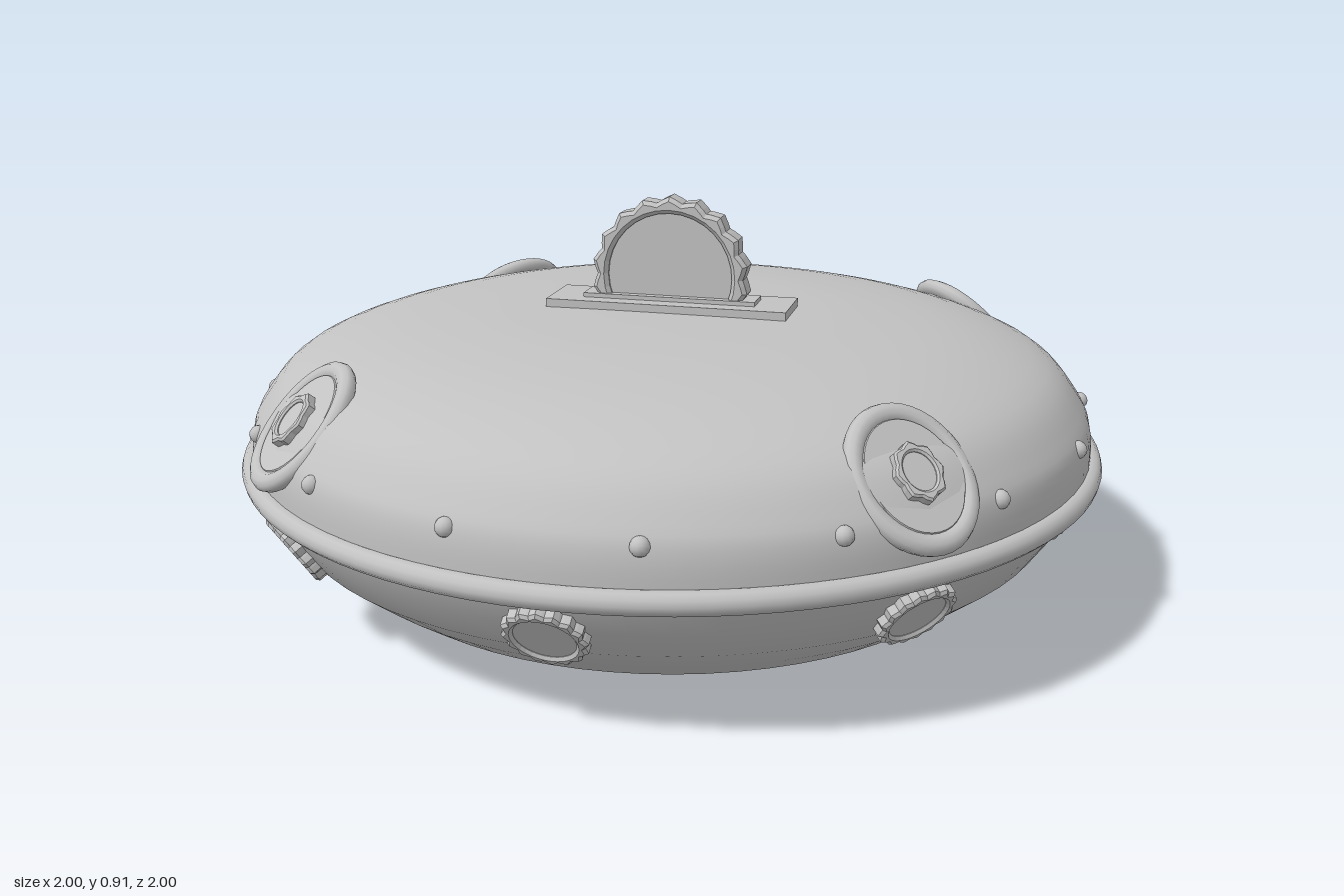
import * as THREE from 'three';

const grey = new THREE.MeshStandardMaterial({ color: 0xc2c2c2 });
grey.name = 'grey metal';

const v2 = (a) => a.map(([x, y]) => new THREE.Vector2(x, y));

function add(parent, name, geometry, x = 0, y = 0, z = 0) {
  const m = new THREE.Mesh(geometry, grey);
  m.name = name;
  m.position.set(x, y, z);
  parent.add(m);
  return m;
}

// Scalloped ring facing +z, centred on z = 0
function scallopedRing(teeth, tip, root, inner, depth, bevel) {
  const pts = [];
  const n = teeth * 4;
  for (let i = 0; i < n; i++) {
    const a = (i / n) * Math.PI * 2 + Math.PI / 2;
    const r = root + (tip - root) * (0.5 + 0.5 * Math.cos((i / 4) * Math.PI * 2)) - bevel;
    pts.push(new THREE.Vector2(Math.cos(a) * r, Math.sin(a) * r));
  }
  const shape = new THREE.Shape(pts);
  const hole = new THREE.Path();
  hole.absarc(0, 0, inner + bevel, 0, Math.PI * 2, true);
  shape.holes.push(hole);
  const g = new THREE.ExtrudeGeometry(shape, {
    depth: depth - 2 * bevel, bevelEnabled: true, bevelThickness: bevel,
    bevelSize: bevel, bevelSegments: 1, curveSegments: 16,
  });
  return g.translate(0, 0, -depth / 2 + bevel);
}

// Cylinder lying along z
const disc = (r1, r0, depth, sides) =>
  new THREE.CylinderGeometry(r1, r0, depth, sides).rotateX(Math.PI / 2);

// Group on the hull whose +z points outward at the given angle and pitch
function mount(parent, name, angle, radius, y, pitch) {
  const g = new THREE.Group();
  g.name = name;
  g.position.set(Math.sin(angle) * radius, y, Math.cos(angle) * radius);
  g.rotation.set(-pitch, angle, 0, 'YXZ');
  parent.add(g);
  return g;
}

export function createModel() {
  const model = new THREE.Group();
  model.name = 'saucer';

  // Hull: domed top, rim and tapered underside
  const upper = new THREE.SplineCurve(v2([
    [0.972, 0.34], [0.968, 0.41], [0.945, 0.465], [0.865, 0.55],
    [0.685, 0.611], [0.455, 0.64], [0.25, 0.646], [0, 0.647],
  ])).getPoints(28);
  upper[upper.length - 1].x = 0;
  add(model, 'upperHull', new THREE.LatheGeometry(upper, 72));
  add(model, 'lowerHull', new THREE.LatheGeometry(v2([
    [0, 0.04], [0.41, 0.042], [0.715, 0.058], [0.735, 0.067], [0.81, 0.12],
    [0.885, 0.18], [0.93, 0.245], [0.968, 0.31], [0.972, 0.34],
  ]), 72));
  add(model, 'rim', new THREE.TorusGeometry(0.974, 0.025, 12, 96).rotateX(Math.PI / 2), 0, 0.33, 0);
  add(model, 'foot', new THREE.CylinderGeometry(0.425, 0.417, 0.05, 64), 0, 0.025, 0);

  // Rivets above the rim
  const rivet = new THREE.SphereGeometry(0.02, 12, 8);
  for (let i = 0; i < 16; i++) {
    const a = ((i + 0.5) / 16) * Math.PI * 2;
    add(model, 'rivet', rivet, Math.sin(a) * 0.958, 0.432, Math.cos(a) * 0.958);
  }

  // Four large round hatches on the shoulder
  const hatchPlate = disc(0.105, 0.122, 0.03, 40);
  const hatchRing = new THREE.TorusGeometry(0.122, 0.02, 10, 40);
  const hubRing = scallopedRing(8, 0.056, 0.049, 0.036, 0.03, 0.004);
  const hubCap = disc(0.038, 0.038, 0.022, 24);
  for (let i = 0; i < 4; i++) {
    const hatch = mount(model, 'hatch', ((i + 0.5) * Math.PI) / 2, 0.895, 0.495, 0.73);
    hatch.scale.y = 1.12;
    add(hatch, 'hatchPlate', hatchPlate);
    add(hatch, 'hatchRing', hatchRing);
    add(hatch, 'hubRing', hubRing, 0, 0, 0.022);
    add(hatch, 'hubCap', hubCap, 0, 0, 0.02);
  }

  // Eight scalloped portholes on the underside
  const portRing = scallopedRing(16, 0.086, 0.078, 0.062, 0.05, 0.006);
  const portPane = disc(0.066, 0.066, 0.036, 32);
  for (let i = 0; i < 8; i++) {
    const port = mount(model, 'porthole', (i * Math.PI) / 4, 0.918, 0.235, -0.58);
    add(port, 'portholeRing', portRing);
    add(port, 'portholePane', portPane);
  }

  // Upright scalloped crest on a stepped base plate
  add(model, 'basePlate', new THREE.BoxGeometry(0.57, 0.03, 0.155), 0, 0.65, 0);
  add(model, 'baseStep', new THREE.BoxGeometry(0.41, 0.02, 0.075), 0, 0.665, 0);
  add(model, 'crestRing', scallopedRing(18, 0.186, 0.173, 0.148, 0.064, 0.009), 0, 0.721, 0);
  add(model, 'crestPane', disc(0.152, 0.152, 0.036, 48), 0, 0.718, 0);

  // Remove the parts of the crest that would reach below the hull top
  for (const name of ['crestRing', 'crestPane']) {
    const m = model.getObjectByName(name);
    const p = m.geometry.attributes.position;
    for (let i = 0; i < p.count; i++) p.setY(i, Math.max(p.getY(i), -0.085));
    p.needsUpdate = true;
  }
  return model;
}
